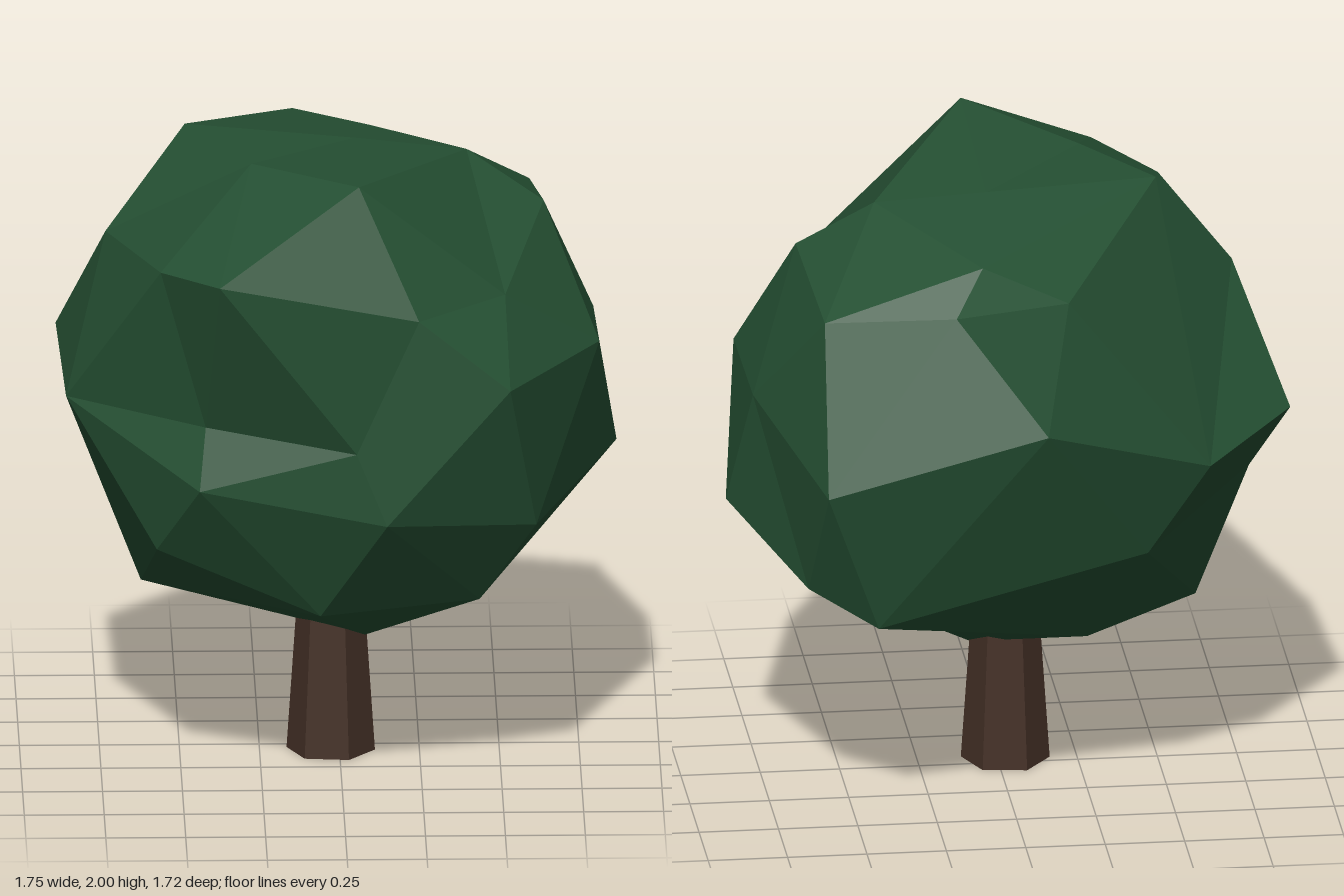
import * as THREE from 'three';
import { ConvexGeometry } from 'three/addons/geometries/ConvexGeometry.js';

// Faceted crown: corners are joined by wrapping them on a unit sphere,
// then each one is pushed back out to its own radius, which allows dents.
function crownGeometry(corners, centre) {
  const spokes = corners.map((c) => new THREE.Vector3(...c).sub(centre));
  const dirs = spokes.map((s) => s.clone().normalize());
  const geo = new ConvexGeometry(dirs);
  const pos = geo.attributes.position;
  const v = new THREE.Vector3();
  for (let i = 0; i < pos.count; i++) {
    v.fromBufferAttribute(pos, i);
    let best = 0;
    dirs.forEach((d, k) => { if (d.dot(v) > dirs[best].dot(v)) best = k; });
    const s = spokes[best];
    pos.setXYZ(i, s.x + centre.x, s.y + centre.y, s.z + centre.z);
  }
  geo.computeVertexNormals();
  return geo;
}

export function createModel() {
  const leafGreen = new THREE.MeshStandardMaterial({ color: 0x26502f, flatShading: true });
  leafGreen.name = 'leafGreen';
  leafGreen.color.set(0x255033);
  const barkBrown = new THREE.MeshStandardMaterial({ color: 0x443026, flatShading: true });
  barkBrown.name = 'barkBrown';

  const tree = new THREE.Group();
  tree.name = 'tree';

  // Six-sided tapering trunk, reaching up into the crown
  const trunk = new THREE.Mesh(
    new THREE.CylinderGeometry(0.085, 0.139, 0.8, 6, 1, false, THREE.MathUtils.degToRad(23)), barkBrown);
  trunk.name = 'trunk';
  trunk.position.set(-0.027, 0.4, 0.05);
  tree.add(trunk);

  // Crown corners, from the top down
  const top = [
    [-0.48, 1.99, -0.13], [-0.28, 1.97, 0.24], [0.05, 2.0, 0.6], [0.05, 1.95, -0.1],
    [0.4, 1.92, -0.07], [0.11, 1.86, -0.53], [-0.13, 1.835, -0.8], [0.2, 1.72, -0.6],
  ];
  const shoulder = [
    [0.64, 1.77, -0.01], [0.51, 1.61, 0.48], [0.235, 1.61, 0.77], [-0.39, 1.75, 0.86],
    [-0.57, 1.725, 0.6], [-0.73, 1.67, -0.035], [0.605, 1.69, -0.51],
  ];
  const middle = [
    [0.52, 1.39, 0.8], [0.81, 1.375, 0.21], [0.8, 1.355, -0.235], [0.62, 1.19, -0.75],
    [-0.06, 1.41, -0.86], [-0.585, 1.24, -0.72], [-0.88, 1.28, -0.335], [-0.86, 1.23, 0.29],
    [-0.43, 1.23, 0.64], [0.04, 1.18, 0.78],
  ];
  const lower = [
    [-0.45, 1.04, 0.71], [0.135, 0.95, 0.8], [0.605, 0.895, 0.6], [0.87, 0.96, -0.1],
    [0.66, 0.815, -0.54], [0.45, 0.71, -0.64], [-0.4, 0.92, -0.62], [-0.76, 1.06, -0.25],
    [-0.58, 0.79, 0.5],
  ];
  const underside = [
    [-0.62, 0.54, 0], [-0.07, 0.6, 0.605], [0.43, 0.61, 0.46], [0.5, 0.68, -0.25],
    [-0.24, 0.54, -0.335], [0.08, 0.38, 0.08],
  ];
  const crown = new THREE.Mesh(
    crownGeometry([...top, ...shoulder, ...middle, ...lower, ...underside], new THREE.Vector3(0, 1.2, 0)),
    leafGreen);
  crown.name = 'crown';
  tree.add(crown);

  return tree;
}
